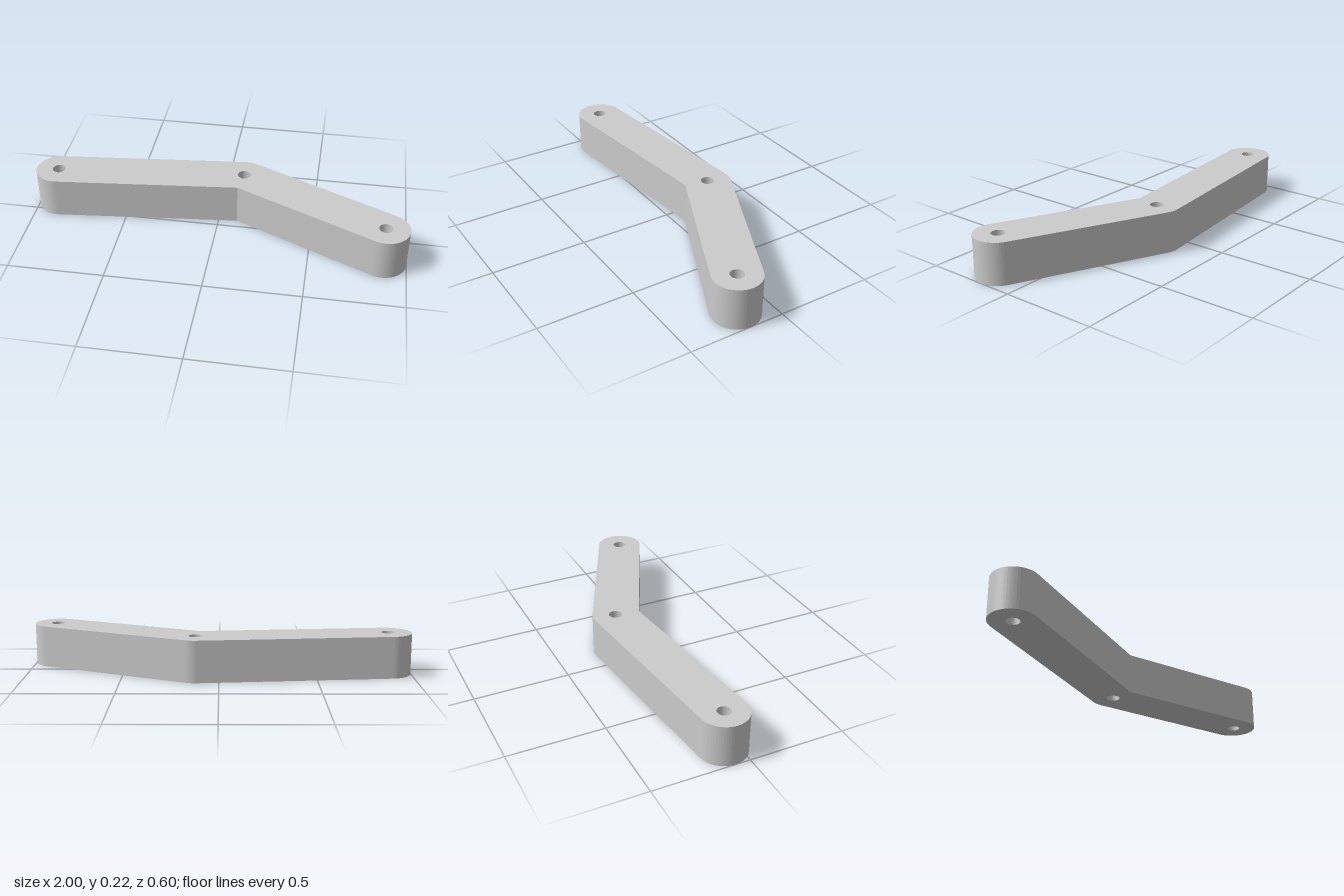
import * as THREE from 'three';

const HEIGHT = 0.218;
const RADIUS = 0.122;
const HOLE_RADIUS = 0.035;

export function createModel() {
  const group = new THREE.Group();
  group.name = 'bentLinkArm';

  // Pivot centres in plan (shape y points to the back, -z)
  const a = new THREE.Vector2(-0.878, 0.077);
  const b = new THREE.Vector2(0.12, 0.176);
  const c = new THREE.Vector2(0.878, -0.176);
  const angleAB = Math.atan2(b.y - a.y, b.x - a.x);
  const angleBC = Math.atan2(c.y - b.y, c.x - b.x);
  const quarter = Math.PI / 2;

  // Sharp inner corner of the bend
  const mid = (angleAB + angleBC) / 2;
  const miter = RADIUS / Math.cos((angleAB - angleBC) / 2);

  // Outline: rounded ends, rounded outer elbow, sharp inner elbow
  const outline = new THREE.Shape();
  outline.absarc(c.x, c.y, RADIUS, angleBC - quarter, angleBC + quarter, false);
  outline.absarc(b.x, b.y, RADIUS, angleBC + quarter, angleAB + quarter, false);
  outline.absarc(a.x, a.y, RADIUS, angleAB + quarter, angleAB + 3 * quarter, false);
  outline.lineTo(b.x + miter * Math.sin(mid), b.y - miter * Math.cos(mid));
  outline.closePath();

  // Through holes at the three pivots
  for (const p of [a, b, c]) {
    outline.holes.push(new THREE.Path().absarc(p.x, p.y, HOLE_RADIUS, 0, Math.PI * 2, true));
  }

  const geometry = new THREE.ExtrudeGeometry(outline, {
    depth: HEIGHT, bevelEnabled: false, curveSegments: 16,
  });
  geometry.rotateX(-Math.PI / 2);

  const arm = new THREE.Mesh(geometry, new THREE.MeshStandardMaterial({ color: 0xcccccc }));
  arm.name = 'arm';
  group.add(arm);
  return group;
}
